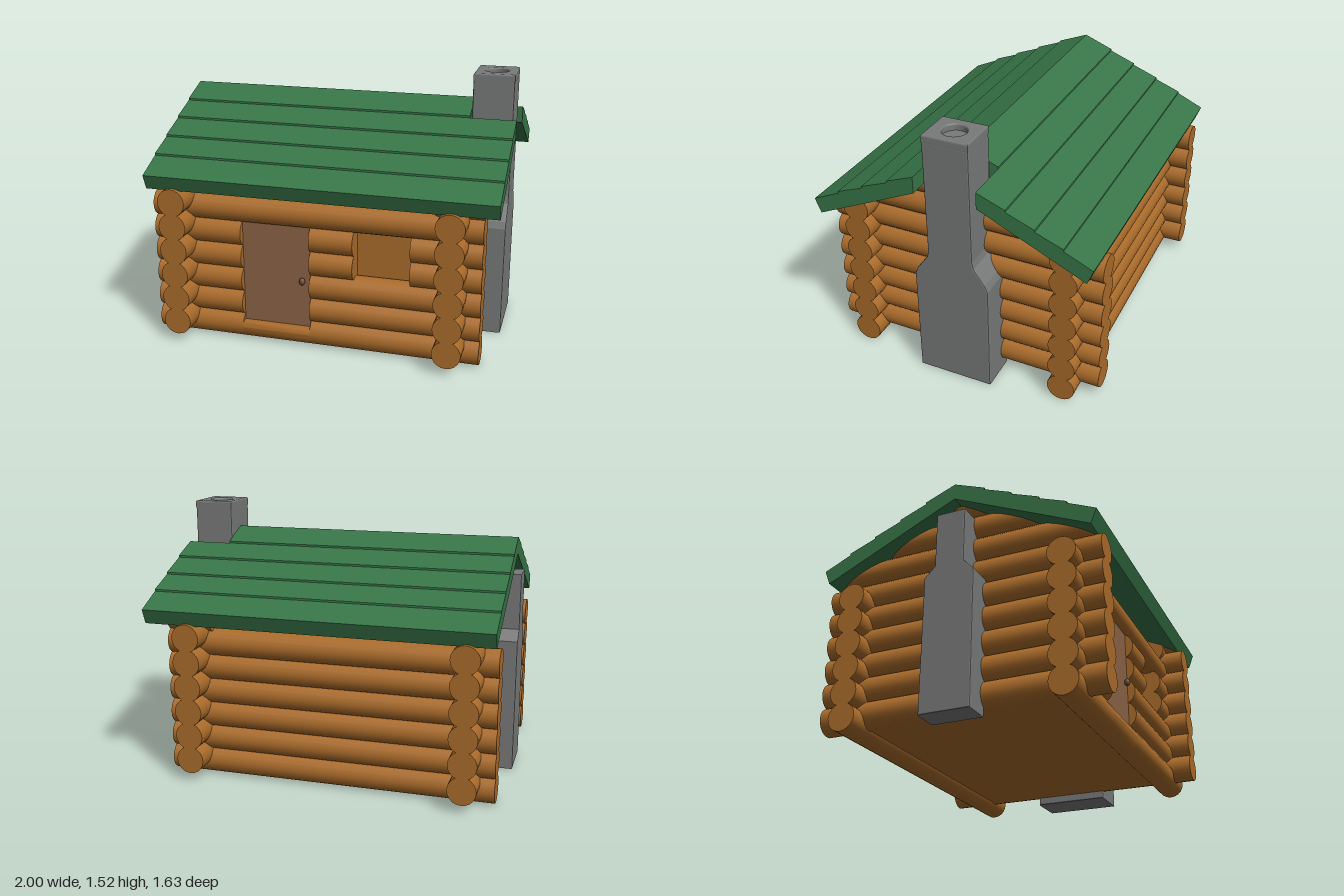
import * as THREE from 'three';

const mat = (name, color, side = THREE.FrontSide) => {
  const m = new THREE.MeshStandardMaterial({ color, side });
  m.name = name;
  return m;
};

export function createModel() {
  const root = new THREE.Group();
  root.name = 'logCabin';
  const wood = mat('log wood', 0xab6c2b);
  const green = mat('roof green', 0x387648);
  const stone = mat('chimney stone', 0x787a79);
  const doorBrown = mat('door brown', 0x8c6346);
  const knobBrown = mat('knob brown', 0x6e4c38);

  const add = (parent, name, geo, material, x = 0, y = 0, z = 0) => {
    const m = new THREE.Mesh(geo, material);
    m.name = name;
    m.position.set(x, y, z);
    parent.add(m);
    return m;
  };
  const group = (name) => {
    const g = new THREE.Group();
    g.name = name;
    root.add(g);
    return g;
  };
  const box = (parent, name, material, x0, x1, y0, y1, z0, z1) =>
    add(parent, name, new THREE.BoxGeometry(x1 - x0, y1 - y0, z1 - z0), material,
      (x0 + x1) / 2, (y0 + y1) / 2, (z0 + z1) / 2);

  // Extrudes a profile of [z, y] points along x
  const alongX = (points, x0, x1, bevel = 0) => {
    const shape = new THREE.Shape(points.map(([z, y]) => new THREE.Vector2(-z, y)));
    const geo = new THREE.ExtrudeGeometry(shape, {
      depth: x1 - x0 - 2 * bevel, bevelEnabled: bevel > 0, bevelSize: bevel,
      bevelThickness: bevel, bevelOffset: -bevel, bevelSegments: 2,
    });
    return geo.rotateY(Math.PI / 2).translate(x0 + bevel, 0, 0);
  };

  const R = 0.08, SIDES = 20;
  const WEST = -0.81, EAST = 0.75, WALL_Z = 0.62;
  const X0 = -0.97, X1 = 0.91, END_Z = 0.81;
  const under = (z) => 1.265 - 0.459 * Math.abs(z);
  const top = (z) => 1.36 - 0.454 * Math.abs(z);

  // Logs running along x, with an optional flat cut on top
  const longLog = (parent, x0, x1, y, z, cutY = Infinity) => {
    const geo = new THREE.CylinderGeometry(R, R, x1 - x0, SIDES).rotateZ(Math.PI / 2);
    geo.translate((x0 + x1) / 2, y, z);
    const p = geo.attributes.position;
    if (cutY < y + R) {
      for (let i = 0; i < p.count; i++) p.setY(i, Math.min(p.getY(i), cutY));
      geo.computeVertexNormals();
    }
    add(parent, 'longLog', geo, wood);
  };

  // Logs running along z, sloped at the ends where they meet the roof
  const crossLog = (parent, x, y, gable) => {
    const geo = new THREE.CylinderGeometry(R, R, 2 * END_Z, SIDES).rotateX(Math.PI / 2);
    geo.translate(x, y, 0);
    if (gable) {
      const p = geo.attributes.position;
      for (let i = 0; i < p.count; i++) {
        const py = Math.min(p.getY(i), 1.26);
        const reach = Math.min(END_Z, (1.265 - py) / 0.459);
        p.setY(i, py);
        p.setZ(i, Math.sign(p.getZ(i)) * reach);
      }
      geo.computeVertexNormals();
    }
    add(parent, gable ? 'gableLog' : 'sideLog', geo, wood);
  };

  // Front and back walls, the front split around the door and window
  const front = group('frontWall');
  const back = group('backWall');
  const DOOR = [-0.45, -0.05], WINDOW = [0.2, 0.52];
  for (let i = 0; i < 6; i++) {
    const y = R + 0.141 * i;
    longLog(back, X0, X1, y, -WALL_Z);
    if (i === 5) {
      longLog(front, X0, X1, y, WALL_Z);
      continue;
    }
    longLog(front, X0, DOOR[0], y, WALL_Z);
    if (i === 0) longLog(front, DOOR[0], DOOR[1], y, WALL_Z, 0.112);
    if (i >= 3) {
      longLog(front, DOOR[1], WINDOW[0], y, WALL_Z);
      longLog(front, WINDOW[1], X1, y, WALL_Z);
    } else {
      longLog(front, DOOR[1], X1, y, WALL_Z);
    }
  }
  // Short logs under the roof at the right corners
  longLog(front, 0.65, X1, 0.922, WALL_Z);
  longLog(back, 0.65, X1, 0.922, -WALL_Z);

  // Side walls and gables
  for (const [name, x] of [['leftWall', EAST], ['rightWall', WEST]]) {
    const wall = group(name);
    for (let i = 0; i < 9; i++) crossLog(wall, x, 0.125 + 0.143 * i, i >= 6);
  }

  // Floor and inner wall seen through the window opening
  box(root, 'innerRoom', wood, WEST, EAST, 0.05, 0.84, -0.58, 0.58);

  // Door
  const door = group('door');
  box(door, 'doorPanel', doorBrown, DOOR[0], DOOR[1], 0.114, 0.715, 0.57, 0.655);
  const knob = add(door, 'doorKnob', new THREE.SphereGeometry(0.02, 16, 10), knobBrown,
    -0.097, 0.395, 0.67);
  knob.scale.set(0.85, 1.1, 0.85);

  // Roof: five overlapping boards on each slope, the ridge boards stop at the chimney
  const roof = group('roof');
  const edges = [0, 0.18, 0.34, 0.5, 0.655, 0.815];
  for (const s of [1, -1]) {
    for (let k = 0; k < 5; k++) {
      const [a, b] = [edges[k], edges[k + 1]];
      const last = k === 4;
      const bLow = last ? 0.782 : b;
      const lift = last ? 0 : 0.011;
      const profile = [
        [s * a, top(a)], [s * b, top(b) + lift],
        [s * bLow, under(bLow)], [s * a, under(a)],
      ];
      add(roof, 'roofBoard', alongX(profile, -0.965, k === 0 ? 0.742 : 1), green);
    }
  }

  // Main chimney with a round flue in its cap
  const chimney = group('mainChimney');
  const half = [[0.22, 0], [0.22, 0.65], [0.205, 0.69], [0.14, 0.78], [0.132, 0.82], [0.132, 1.485]];
  const mirrored = (h) => [...h, ...h.slice().reverse().map(([z, y]) => [-z, y])];
  add(chimney, 'chimneyBody', alongX(mirrored(half), 0.745, 0.975, 0.008), stone);
  const cap = new THREE.Shape();
  const cw = 0.107, cd = 0.124;
  cap.moveTo(-cw, -cd).lineTo(cw, -cd).lineTo(cw, cd).lineTo(-cw, cd).closePath();
  cap.holes.push(new THREE.Path().absarc(0, 0, 0.075, 0, Math.PI * 2, true));
  const capGeo = new THREE.ExtrudeGeometry(cap, {
    depth: 0.03, bevelThickness: 0.01, bevelSize: 0.008, bevelSegments: 3, curveSegments: 20,
  });
  add(chimney, 'chimneyCap', capGeo.rotateX(-Math.PI / 2), stone, 0.86, 1.482, 0);

  // Smaller chimney on the other gable
  const small = [[0.145, 0.005], [0.145, 0.78], [0.085, 0.84], [0.085, 1.16]];
  add(root, 'smallChimney', alongX(mirrored(small), -1, -0.84, 0.006), stone);

  return root;
}
